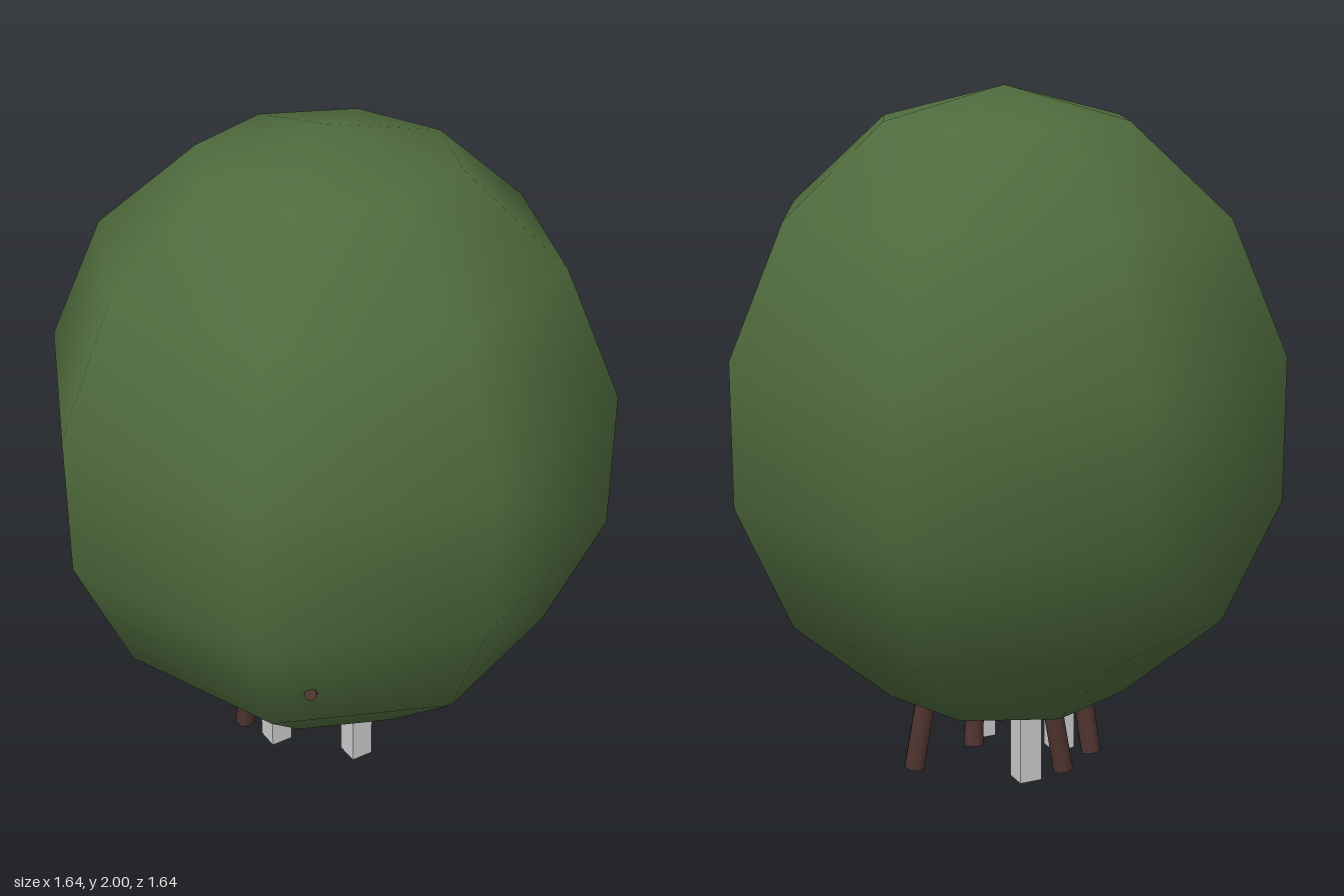
import * as THREE from 'three';

export function createModel() {
  const model = new THREE.Group();
  const green = new THREE.MeshStandardMaterial({ color: 0x4f6b3d });
  green.name = 'leaf green';
  const brown = new THREE.MeshStandardMaterial({ color: 0x4e342e });
  brown.name = 'bark brown';
  const grey = new THREE.MeshStandardMaterial({ color: 0xcccccc });
  grey.name = 'pale grey';

  const add = (name, geometry, material) => {
    const mesh = new THREE.Mesh(geometry, material);
    mesh.name = name;
    model.add(mesh);
    return mesh;
  };

  // Large rounded crown, eight sides around and seven bands high
  const crown = add('crown', new THREE.SphereGeometry(1, 8, 7), green);
  crown.scale.set(0.84, 0.92, 0.84);
  crown.position.y = 1.08;

  // Round rod between two points
  const rod = (name, from, to, radius) => {
    const a = new THREE.Vector3(...from);
    const b = new THREE.Vector3(...to);
    const mesh = add(name, new THREE.CylinderGeometry(radius, radius, a.distanceTo(b), 8), brown);
    mesh.position.copy(a).add(b).multiplyScalar(0.5);
    mesh.quaternion.setFromUnitVectors(new THREE.Vector3(0, 1, 0), b.sub(a).normalize());
  };

  // Leaning stems: foot x, foot z, then x and z lean per unit of height
  const stems = [
    [0.065, 0.08, -0.1, 0.17],
    [0.295, 0, -0.19, 0],
    [-0.1, -0.195, 0.17, 0.03],
    [-0.235, -0.115, 0.08, 0.18],
  ];
  for (const [x, z, dx, dz] of stems) {
    const h = 0.45;
    rod('stem', [x, 0.015, z], [x + dx * h, 0.015 + h, z + dz * h], 0.031);
  }

  // Twig whose tip pokes through the crown
  rod('twig', [-0.2, 0.5, 0.28], [-0.4, 0.65, 0.565], 0.018);

  // Square posts
  for (const [x, z] of [[-0.005, 0.18], [-0.18, -0.01], [0.015, -0.18]]) {
    const post = add('post', new THREE.BoxGeometry(0.068, 0.4, 0.068), grey);
    post.position.set(x, 0.203, z);
  }

  return model;
}
